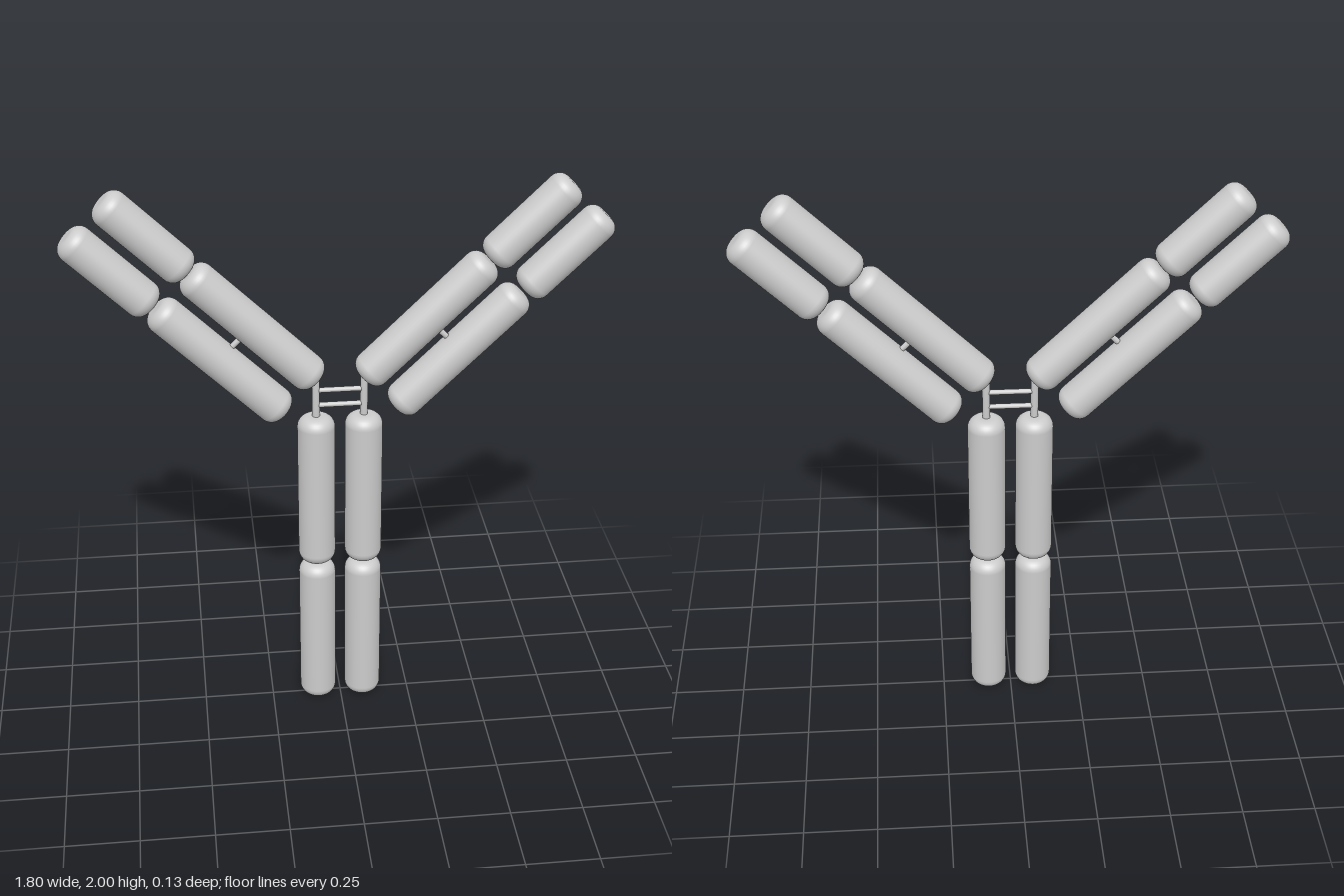
import * as THREE from 'three';

const material = new THREE.MeshStandardMaterial({ color: 0xcccccc });
const RADIUS = 0.065;
const BEVEL = 0.04;
const ARM_TILT = THREE.MathUtils.degToRad(45.5); // from vertical

// Cylinder along y with rounded rims, centred on its origin
function roundedRod(length) {
  const points = [new THREE.Vector2(0, -length / 2)];
  for (const end of [-1, 1]) {
    for (let i = 0; i <= 8; i++) {
      const a = (end < 0 ? i / 8 - 1 : i / 8) * Math.PI / 2;
      points.push(new THREE.Vector2(
        RADIUS - BEVEL + BEVEL * Math.cos(a),
        end * (length / 2 - BEVEL) + BEVEL * Math.sin(a)));
    }
  }
  points.push(new THREE.Vector2(0, length / 2));
  return new THREE.LatheGeometry(points, 40);
}

function addPart(parent, name, geometry, x, y, tilt = 0) {
  const mesh = new THREE.Mesh(geometry, material);
  mesh.name = name;
  mesh.position.set(x, y, 0);
  mesh.rotation.z = tilt;
  parent.add(mesh);
}

export function createModel() {
  const model = new THREE.Group();
  model.name = 'yShapedMolecule';

  const longRod = roundedRod(0.578);
  const shortRod = roundedRod(0.363);
  const hinge = new THREE.CylinderGeometry(0.013, 0.013, 0.24, 16);
  const armLink = new THREE.CylinderGeometry(0.01, 0.01, 0.1, 12);
  const bridge = new THREE.CylinderGeometry(0.009, 0.009, 0.164, 12);

  for (const [side, s] of [['left', 1], ['right', -1]]) {
    const half = new THREE.Group();
    half.name = side + 'Half';

    // Stem and the thin hinge above it
    addPart(half, 'lowerStem', longRod, s * 0.082, 0.291);
    addPart(half, 'upperStem', longRod, s * 0.082, 0.876);
    addPart(half, 'hinge', hinge, s * 0.082, 1.23);

    // Arm: paired inner and outer rods
    const tilt = -s * ARM_TILT;
    addPart(half, 'innerArmBase', longRod, s * 0.287, 1.508, tilt);
    addPart(half, 'innerArmTip', shortRod, s * 0.627, 1.841, tilt);
    addPart(half, 'outerArmBase', longRod, s * 0.398, 1.39, tilt);
    addPart(half, 'outerArmTip', shortRod, s * 0.744, 1.727, tilt);
    addPart(half, 'armLink', armLink, s * 0.347, 1.453, tilt + Math.PI / 2);
    model.add(half);
  }

  // Cross bridges joining the two hinges
  for (const y of [1.206, 1.262]) addPart(model, 'hingeBridge', bridge, 0, y, Math.PI / 2);

  return model;
}
